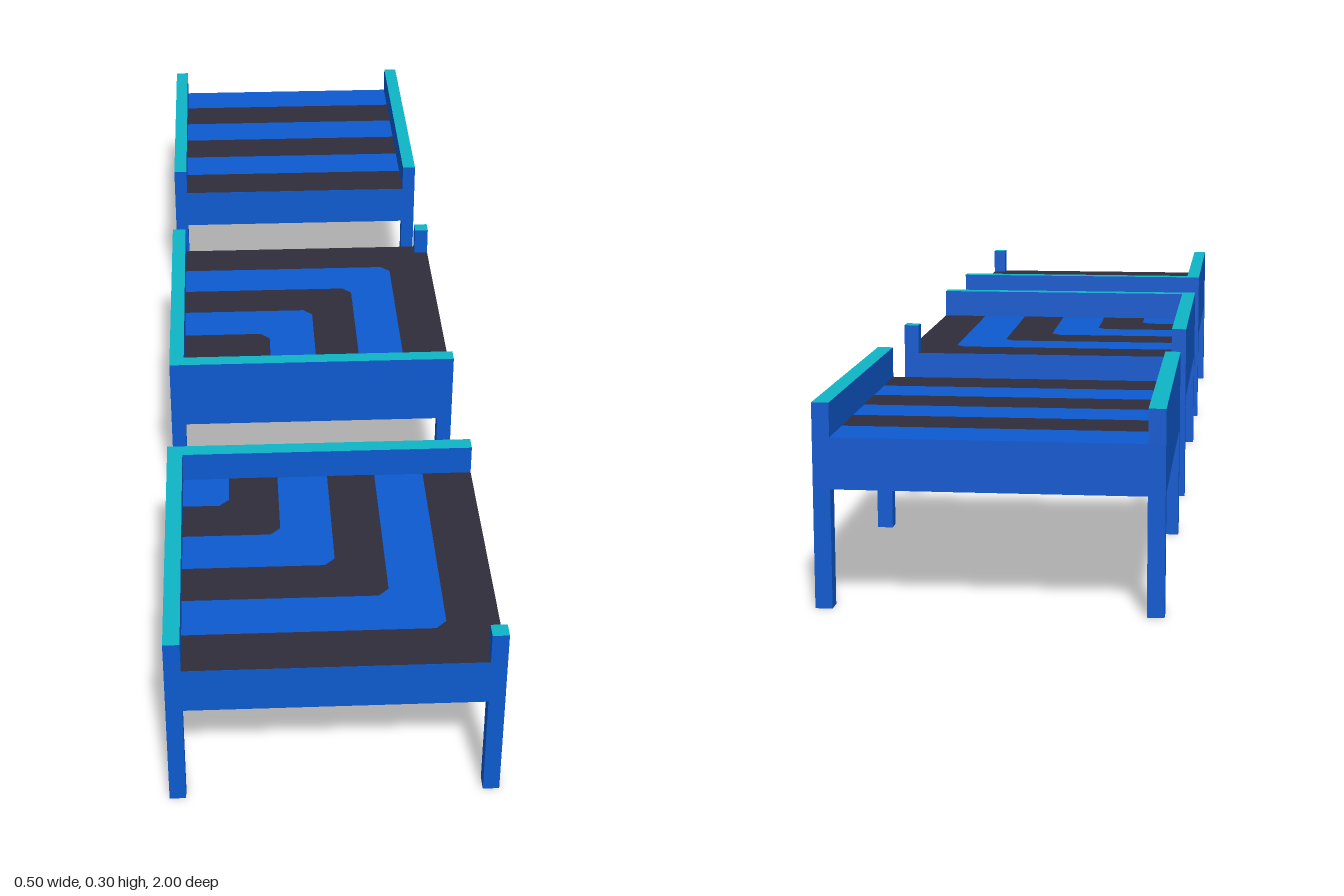
import * as THREE from 'three';

const SIZE = 0.5, HALF = SIZE / 2;   // square footprint of one unit
const T = 0.025;                     // leg and rail thickness
const LEG_TOP = 0.175, DECK_TOP = 0.25, RAIL_TOP = 0.3;
const FACE_Y = DECK_TOP + 0.0006;    // painted faces lie just above the deck

const material = (name, color) => {
  const m = new THREE.MeshStandardMaterial({ color });
  m.name = name;
  return m;
};

export function createModel() {
  const blue = material('blue', 0x0d5acf);
  const dark = material('charcoal', 0x2f2d3a);
  const teal = material('teal', 0x0fb5c6);
  const capped = [blue, blue, teal, blue, blue, blue]; // teal on the upward face

  // Box given by its x, y and z ranges
  const box = (parent, name, mat, [x0, x1], [y0, y1], [z0, z1]) => {
    const mesh = new THREE.Mesh(new THREE.BoxGeometry(x1 - x0, y1 - y0, z1 - z0), mat);
    mesh.position.set((x0 + x1) / 2, (y0 + y1) / 2, (z0 + z1) / 2);
    mesh.name = name;
    parent.add(mesh);
  };

  // Flat painted stripe on the deck; points are (x, -z)
  const stripe = (parent, points) => {
    const shape = new THREE.Shape(points.map(([x, y]) => new THREE.Vector2(x, y)));
    const mesh = new THREE.Mesh(new THREE.ShapeGeometry(shape).rotateX(-Math.PI / 2), dark);
    mesh.position.y = FACE_Y;
    mesh.name = 'deckStripe';
    parent.add(mesh);
  };

  // Deck slab on four legs, with a full rail along the -x side
  const baseUnit = (name) => {
    const unit = new THREE.Group();
    unit.name = name;
    box(unit, 'deck', blue, [-HALF, HALF], [LEG_TOP, DECK_TOP], [-HALF, HALF]);
    for (const x of [-HALF, HALF - T]) {
      for (const z of [-HALF, HALF - T]) {
        box(unit, 'leg', blue, [x, x + T], [0, LEG_TOP], [z, z + T]);
      }
    }
    box(unit, 'sideRail', capped, [-HALF, -HALF + T], [DECK_TOP, RAIL_TOP], [-HALF, HALF]);
    return unit;
  };

  // Straight section: two parallel rails and cross stripes
  const straightUnit = () => {
    const unit = baseUnit('straightSection');
    box(unit, 'sideRail', capped, [HALF - T, HALF], [DECK_TOP, RAIL_TOP], [-HALF, HALF]);
    const step = SIZE / 6, w = HALF - T;
    for (let i = 0; i < 3; i++) {
      const y1 = HALF - (2 * i + 1) * step, y0 = y1 - step;
      stripe(unit, [[-w, y0], [w, y0], [w, y1], [-w, y1]]);
    }
    return unit;
  };

  // Corner section: rails on two adjoining sides, a post opposite, L-shaped stripes
  const cornerUnit = () => {
    const unit = baseUnit('cornerSection');
    box(unit, 'endRail', capped, [-HALF + T, HALF], [DECK_TOP, RAIL_TOP], [HALF - T, HALF]);
    box(unit, 'cornerPost', capped, [HALF - T, HALF], [DECK_TOP, RAIL_TOP], [-HALF, -HALF + T]);
    // Inner and outer distance of each stripe from the railed corner
    for (const [a, b] of [[0.1, 0.18], [0.262, 0.34], [0.42, SIZE]]) {
      const r = 0.016, rb = b === SIZE ? 0 : r;
      const outer = rb ? [[b, b - rb], [b - rb, b]] : [[b, b]];
      const points = [[T, a], [a - r, a], [a, a - r], [a, T], [b, T], ...outer, [T, b]];
      stripe(unit, points.map(([u, v]) => [u - HALF, v - HALF]));
    }
    return unit;
  };

  const model = new THREE.Group();
  model.name = 'trackSections';
  const back = straightUnit(), middle = cornerUnit(), front = cornerUnit();
  back.position.z = -0.75;
  front.position.z = 0.75;
  front.rotation.y = -Math.PI / 2;
  model.add(back, middle, front);
  return model;
}
